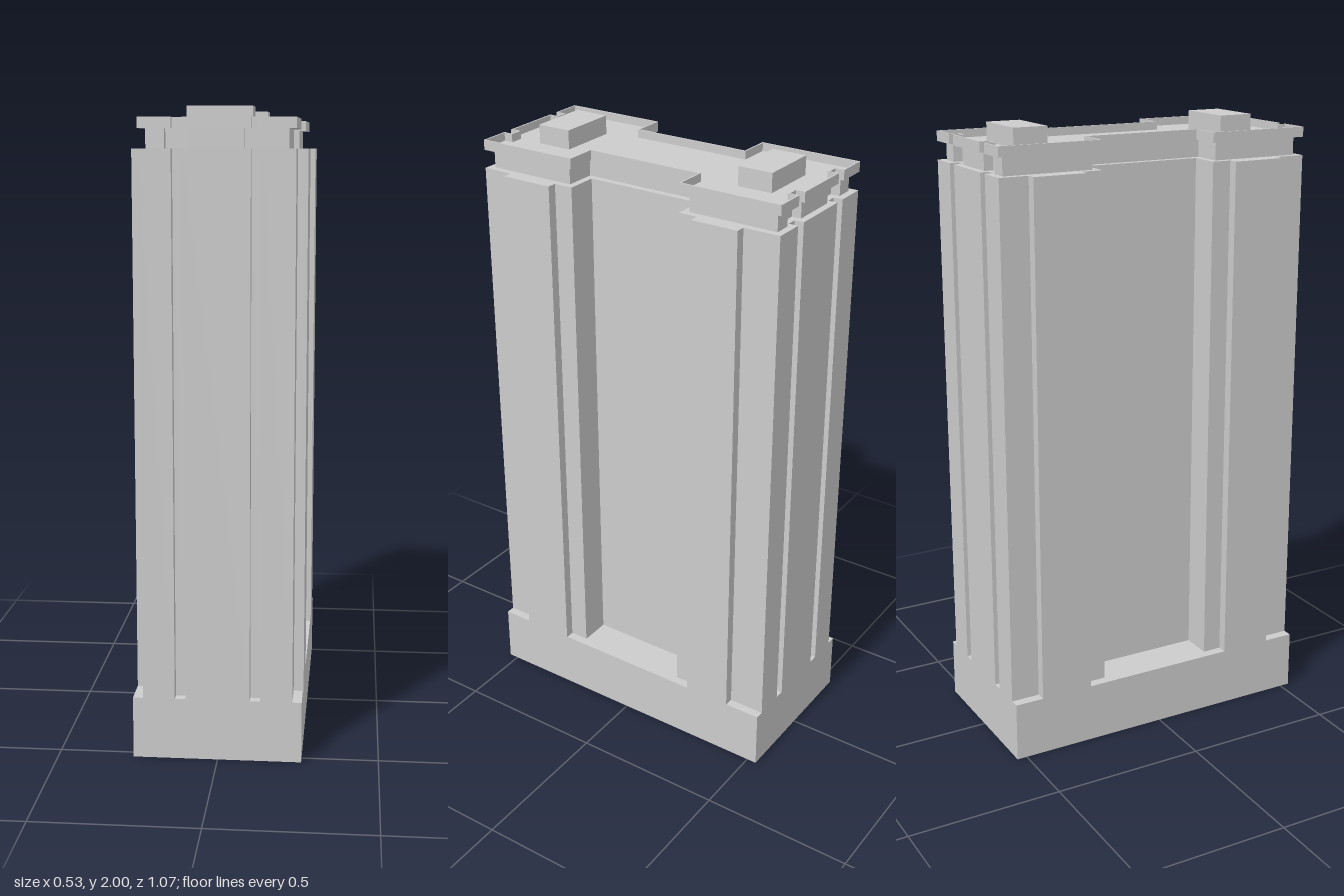
import * as THREE from 'three';

const BASE_TOP = 0.195, TOWER_TOP = 1.876, SLAB_BOTTOM = 1.934, ROOF = 1.94, RIM_TOP = 1.966;

// H-shaped floor plan with two slots in each end, drawn inset by d
function planPoints(d) {
  const quarter = [
    [0.13 - d, 0.195 + d], [0.232 - d, 0.195 + d], [0.232 - d, 0.533 - d],
    [0.133 + d, 0.533 - d], [0.133 + d, 0.503 - d], [0.1 - d, 0.503 - d], [0.1 - d, 0.533 - d],
  ];
  const back = [...quarter].reverse();
  const mirror = (pts, sx, sy) => pts.map(([x, y]) => new THREE.Vector2(x * sx, y * sy));
  return [
    ...mirror(quarter, 1, 1), ...mirror(back, -1, 1),
    ...mirror(quarter, -1, -1), ...mirror(back, 1, -1),
  ];
}

// Upright prism of a plan between two heights
function prism(shape, y0, y1) {
  const g = new THREE.ExtrudeGeometry(shape, { depth: y1 - y0, bevelEnabled: false });
  return g.rotateX(-Math.PI / 2).translate(0, y0, 0);
}

// Box given by its limits on each axis
function block(x0, x1, y0, y1, z0, z1) {
  return new THREE.BoxGeometry(x1 - x0, y1 - y0, z1 - z0)
    .translate((x0 + x1) / 2, (y0 + y1) / 2, (z0 + z1) / 2);
}

export function createModel() {
  const model = new THREE.Group();
  model.name = 'skyscraper';
  const grey = new THREE.MeshStandardMaterial({ color: 0xcccccc, flatShading: true });
  const openGrey = grey.clone();
  openGrey.side = THREE.DoubleSide;

  const add = (name, geometry, material = grey) => {
    const mesh = new THREE.Mesh(geometry, material);
    mesh.name = name;
    model.add(mesh);
  };

  // Hollow podium, open underneath: the box without its bottom face
  const podium = block(-0.264, 0.261, 0, BASE_TOP, -0.533, 0.533);
  podium.setIndex(Array.from(podium.index.array).filter((_, i) => i < 18 || i >= 24));
  podium.clearGroups();
  add('podium', podium, openGrey);

  // Main shaft and the recessed storey above it
  add('tower', prism(new THREE.Shape(planPoints(0)), BASE_TOP, TOWER_TOP));
  add('recessedStorey', prism(new THREE.Shape(planPoints(0.022)), TOWER_TOP, SLAB_BOTTOM));

  // Raised bays on the long sides
  add('bayLeftFront', block(0.22, 0.263, BASE_TOP, TOWER_TOP, 0.258, 0.432));
  add('bayLeftBack', block(0.22, 0.263, BASE_TOP, TOWER_TOP, -0.413, -0.256));
  add('bayRightFront', block(-0.264, -0.22, BASE_TOP, TOWER_TOP, 0.258, 0.432));
  add('bayRightBack', block(-0.264, -0.22, BASE_TOP, TOWER_TOP, -0.438, -0.262));

  // Roof slab with a thin parapet around its edge
  add('roofSlab', prism(new THREE.Shape(planPoints(0)), SLAB_BOTTOM, ROOF));
  const rim = new THREE.Shape(planPoints(0));
  rim.holes.push(new THREE.Path(planPoints(0.005).reverse()));
  add('parapet', prism(rim, ROOF, RIM_TOP));

  // Plant rooms on the roof
  add('plantRoomFront', block(-0.099, 0.097, ROOF, 2, 0.305, 0.419));
  add('plantRoomBack', block(-0.099, 0.097, ROOF, 2, -0.423, -0.31));

  return model;
}
